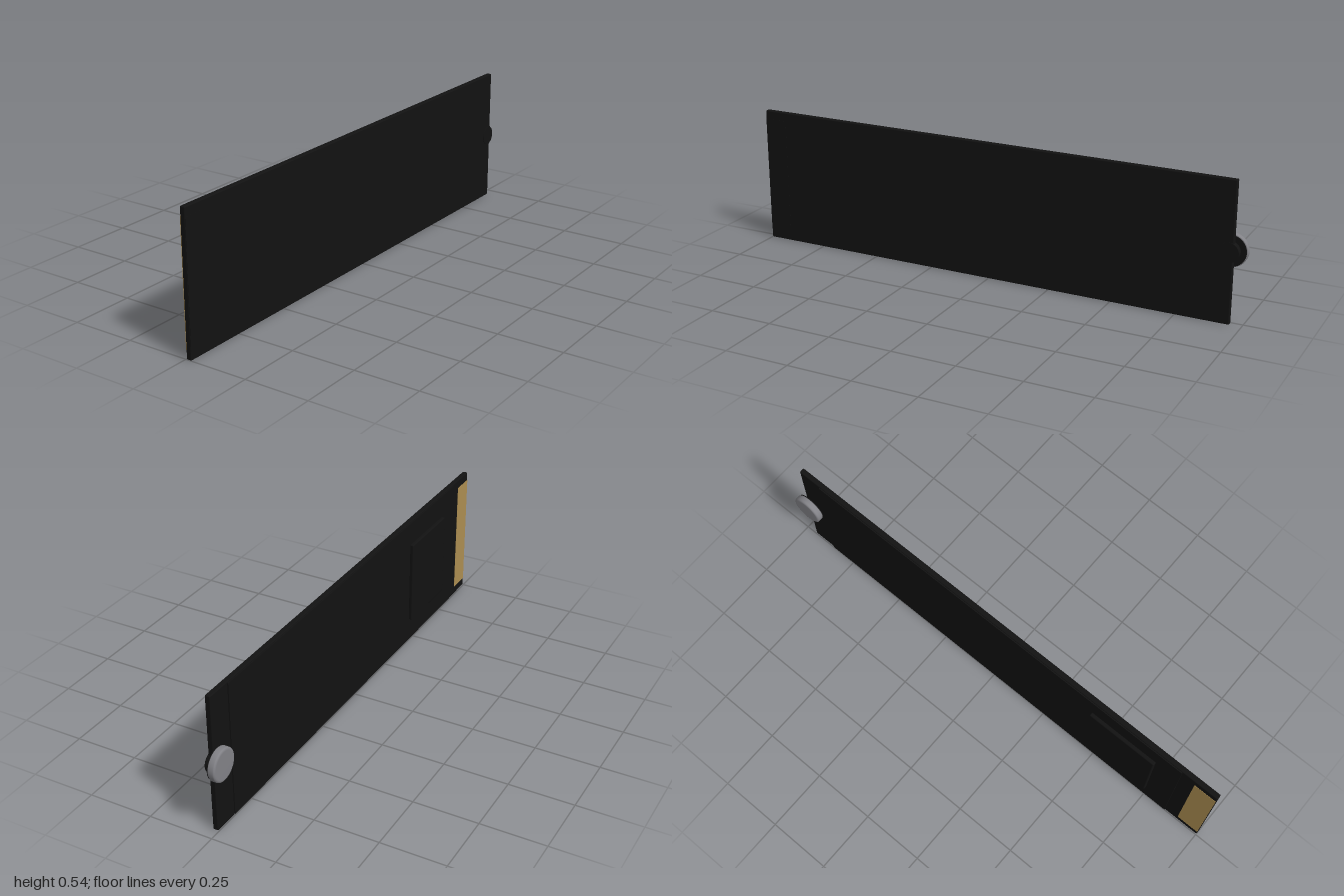
import * as THREE from 'three';
import { RoundedBoxGeometry } from 'three/addons/geometries/RoundedBoxGeometry.js';

export function createModel() {
  const group = new THREE.Group();
  const material = (name, color) => {
    const m = new THREE.MeshStandardMaterial({ color });
    m.name = name;
    return m;
  };
  const black = material('matt black', 0x121212);
  const gold = material('contact gold', 0xad8e52);
  const steel = material('screw steel', 0x828287);

  const add = (name, geometry, mat) => {
    const mesh = new THREE.Mesh(geometry, mat);
    mesh.name = name;
    group.add(mesh);
    return mesh;
  };

  // Box given by its lower and upper limits, with optional rounded edges
  const slab = (name, mat, [x0, x1], [y0, y1], [z0, z1], radius = 0) => {
    const size = [x1 - x0, y1 - y0, z1 - z0];
    const geometry = radius
      ? new RoundedBoxGeometry(...size, 2, radius)
      : new THREE.BoxGeometry(...size);
    add(name, geometry, mat).position.set((x0 + x1) / 2, (y0 + y1) / 2, (z0 + z1) / 2);
  };

  // Circuit board standing on its long edge
  slab('board', black, [0.003, 0.024], [0, 0.54], [-0.955, 1], 0.004);
  // Cover plate and raised chip on the component side
  slab('coverPlate', black, [-0.001, 0.004], [0.005, 0.535], [-0.855, 0.85]);
  slab('chip', black, [-0.015, 0.002], [0.1, 0.442], [0.458, 0.749], 0.005);
  // Edge contacts: gold on the component side, dark on the other
  slab('edgeContacts', gold, [0.002, 0.004], [0.035, 0.505], [0.907, 0.999]);
  slab('rearContacts', black, [0.023, 0.0245], [0.035, 0.505], [0.907, 0.999]);

  // Mounting screw, turned about the x axis
  const onScrewAxis = (mesh, x) => {
    mesh.rotation.z = Math.PI / 2; // local +y points to -x
    mesh.position.set(x, 0.272, -0.938);
  };
  const headProfile = [
    [0, 0], [0.06, 0], [0.0625, 0.003], [0.0625, 0.02],
    [0.061, 0.024], [0.057, 0.0265], [0.052, 0.027], [0, 0.027],
  ].map(([r, h]) => new THREE.Vector2(r, h));
  onScrewAxis(add('screwHead', new THREE.LatheGeometry(headProfile, 40), steel), 0);
  onScrewAxis(add('screwWasher', new THREE.CylinderGeometry(0.059, 0.059, 0.004, 40), black), 0.002);
  onScrewAxis(add('screwShaft', new THREE.CylinderGeometry(0.038, 0.038, 0.026, 32), black), 0.013);

  return group;
}
